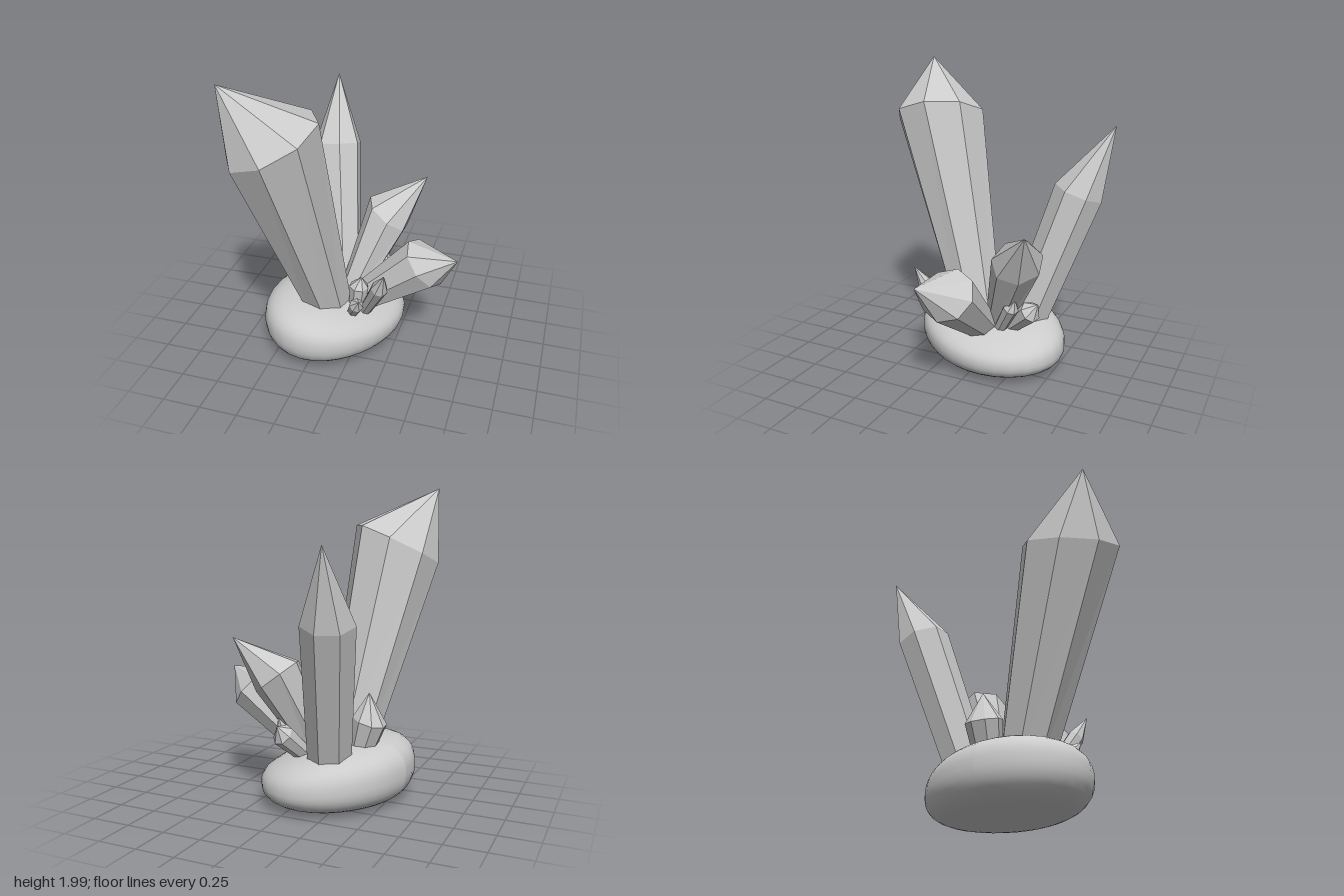
import * as THREE from 'three';

const UP = new THREE.Vector3(0, 1, 0);
const stone = new THREE.MeshStandardMaterial({ color: 0xcccccc });
const facet = new THREE.MeshStandardMaterial({ color: 0xcccccc, flatShading: true });

// Ring of points around a centre, square to the given direction
function ring(centre, dir, radius, sides, phase) {
  const q = new THREE.Quaternion().setFromUnitVectors(UP, dir.clone().normalize());
  return Array.from({ length: sides }, (_, i) => {
    const a = phase + (i / sides) * Math.PI * 2;
    return new THREE.Vector3(Math.cos(a) * radius, 0, Math.sin(a) * radius)
      .applyQuaternion(q).add(centre);
  });
}

// Flared prism from a buried root to a shoulder, closed by an off-centre point
function crystal({ name, root, r0, shoulder, r1, tip, sides = 7, phase = 0, cut }) {
  const a = new THREE.Vector3(...root);
  const b = new THREE.Vector3(...shoulder);
  const t = new THREE.Vector3(...tip);
  const axis = b.clone().sub(a).normalize();
  a.addScaledVector(axis, -0.1);
  const low = ring(a, axis, r0, sides, phase);
  const high = ring(b, cut ? new THREE.Vector3(...cut) : axis, r1, sides, phase);
  const pts = [];
  for (let i = 0; i < sides; i++) {
    const j = (i + 1) % sides;
    pts.push(low[i], high[i], low[j], low[j], high[i], high[j]); // side
    pts.push(high[i], t, high[j]);                               // point
    pts.push(low[i], low[j], a);                                 // buried end
  }
  const geo = new THREE.BufferGeometry().setFromPoints(pts);
  geo.computeVertexNormals();
  const mesh = new THREE.Mesh(geo, facet);
  mesh.name = name;
  return mesh;
}

// Rounded rock: a sphere drawn out along one diagonal, flattened below, sloping down towards +x
function rock() {
  const geo = new THREE.SphereGeometry(1, 32, 24);
  const p = geo.attributes.position;
  for (let i = 0; i < p.count; i++) {
    const x = p.getX(i), y = p.getY(i), z = p.getZ(i);
    const len = Math.hypot(x, z) || 1;
    const [power, root] = y > 0 ? [2.3, 0.47] : [2, 0.5];
    const r = Math.pow(Math.max(0, 1 - Math.pow(Math.abs(y), power)), root);
    const bulge = 1 - 0.09 * 2 * x * z / (len * len);
    const px = (x / len) * r * bulge, pz = (z / len) * r * bulge;
    const middle = 0.18 - 0.025 * px + 0.02 * pz;
    const top = 0.21 - 0.06 * px + 0.03 * pz * pz;
    const h = y > 0 ? top * Math.pow(y, 0.85) : (0.01 - middle) * Math.sin(-y * Math.PI / 2);
    p.setXYZ(i, -0.185 + 0.45 * px, middle + h, -0.02 + 0.53 * pz);
  }
  geo.computeVertexNormals();
  const mesh = new THREE.Mesh(geo, stone);
  mesh.name = 'baseRock';
  return mesh;
}

const crystals = [
  { name: 'largeCrystal', root: [-0.215, 0.4, 0.12], r0: 0.16, shoulder: [-0.387, 1.635, 0.477], r1: 0.307,
    tip: [-0.62, 2, 0.65], sides: 8, phase: 0.65, cut: [-0.38, 0.9, 0.2] },
  { name: 'tallBackCrystal', root: [-0.23, 0.4, -0.29], r0: 0.138, shoulder: [-0.335, 1.21, -0.56], r1: 0.165,
    tip: [-0.39, 1.65, -0.77], phase: 0.3 },
  { name: 'sideCrystal', root: [0.04, 0.34, -0.03], r0: 0.095, shoulder: [0.435, 0.68, 0], r1: 0.178,
    tip: [0.665, 0.79, 0.1], sides: 8, phase: 0.1 },
  { name: 'backSideCrystal', root: [-0.07, 0.36, -0.13], r0: 0.085, shoulder: [0.105, 0.835, -0.32], r1: 0.168,
    tip: [0.34, 1.08, -0.46], phase: 0.5, cut: [0.58, 0.78, -0.12] },
  { name: 'frontCrystal', root: [0.07, 0.32, 0.12], r0: 0.037, shoulder: [0.205, 0.61, 0.275], r1: 0.056,
    tip: [0.25, 0.75, 0.34] },
  { name: 'smallFrontCrystal', root: [0, 0.33, 0.18], r0: 0.035, shoulder: [0.06, 0.47, 0.3], r1: 0.048,
    tip: [0.09, 0.53, 0.35] },
  { name: 'uprightFrontCrystal', root: [0, 0.3, 0.1], r0: 0.045, shoulder: [0.02, 0.49, 0.11], r1: 0.065,
    tip: [0.04, 0.57, 0.12] },
  { name: 'stubbyCrystal', root: [-0.36, 0.38, -0.07], r0: 0.075, shoulder: [-0.41, 0.55, -0.075], r1: 0.112,
    tip: [-0.41, 0.73, -0.085], sides: 8, phase: 0.3 },
  { name: 'smallMiddleCrystal', root: [-0.2, 0.38, -0.08], r0: 0.05, shoulder: [-0.225, 0.47, -0.085], r1: 0.07,
    tip: [-0.235, 0.53, -0.09], sides: 6 },
  { name: 'smallSideCrystal', root: [0.02, 0.34, -0.18], r0: 0.04, shoulder: [0.09, 0.51, -0.275], r1: 0.052,
    tip: [0.11, 0.58, -0.31] },
  { name: 'smallBackCrystal', root: [-0.02, 0.36, -0.26], r0: 0.05, shoulder: [0.04, 0.485, -0.39], r1: 0.072,
    tip: [0.05, 0.55, -0.445] },
];

export function createModel() {
  const group = new THREE.Group();
  group.name = 'crystalCluster';
  group.add(rock(), ...crystals.map(crystal));
  return group;
}
